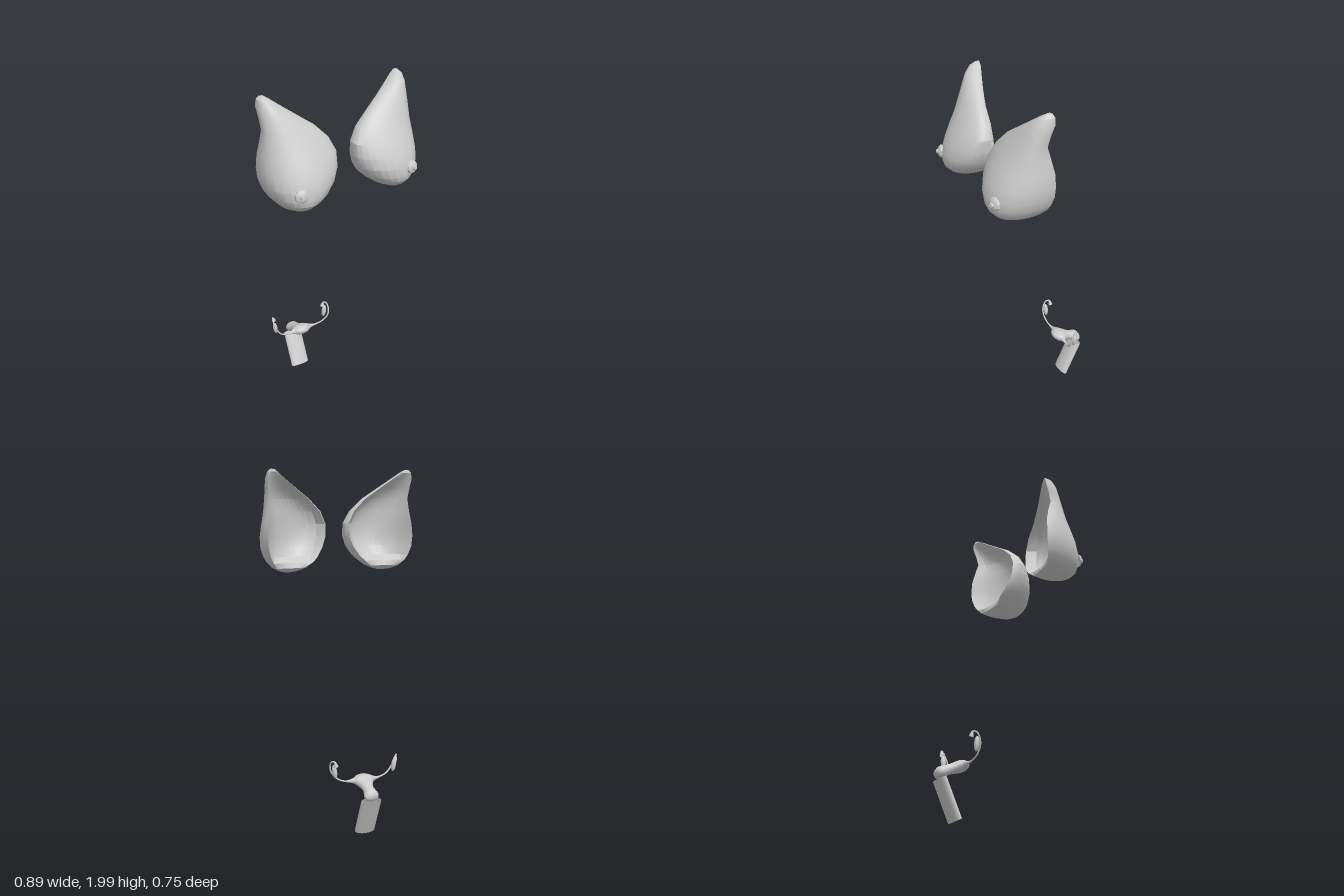
import * as THREE from 'three';
import { toCreasedNormals } from 'three/addons/utils/BufferGeometryUtils.js';

const { lerp } = THREE.MathUtils;
const material = new THREE.MeshStandardMaterial({ color: 0xcccccc, side: THREE.DoubleSide });

function addMesh(parent, name, geometry) {
  const mesh = new THREE.Mesh(geometry, material);
  mesh.name = name;
  parent.add(mesh);
  return mesh;
}

// Skin a list of closed rings (arrays of Vector3, equal length)
function loft(rings) {
  const n = rings[0].length, index = [];
  for (let i = 0; i < rings.length - 1; i++) {
    for (let j = 0; j < n; j++) {
      const k = (j + 1) % n, a = i * n + j, b = i * n + k;
      index.push(a, b, b + n, a, b + n, a + n);
    }
  }
  const g = new THREE.BufferGeometry().setFromPoints(rings.flat());
  g.setIndex(index);
  g.computeVertexNormals();
  return g;
}

// Breast levels from apex to base:
// y, inner x, outer x, front z, inner rim z, outer rim z, hollow depth
const LEVELS = [
  [2.0, 0.385, 0.405, 0.1, 0.075, 0.07, 0],
  [1.985, 0.362, 0.42, 0.13, 0.078, 0.065, 0],
  [1.95, 0.315, 0.428, 0.163, 0.095, 0.066, 0.02],
  [1.9, 0.245, 0.426, 0.193, 0.12, 0.085, 0.05],
  [1.84, 0.16, 0.424, 0.227, 0.145, 0.1, 0.08],
  [1.77, 0.09, 0.43, 0.265, 0.15, 0.08, 0.11],
  [1.7, 0.057, 0.44, 0.305, 0.152, 0.063, 0.125],
  [1.63, 0.058, 0.446, 0.338, 0.145, 0.06, 0.13],
  [1.57, 0.08, 0.44, 0.356, 0.135, 0.063, 0.12],
  [1.52, 0.115, 0.422, 0.356, 0.12, 0.075, 0.09],
  [1.49, 0.148, 0.403, 0.345, 0.11, 0.085, 0.03],
  [1.46, 0.19, 0.375, 0.315, 0.125, 0.11, 0],
  [1.44, 0.235, 0.335, 0.28, 0.155, 0.145, 0],
  [1.43, 0.275, 0.295, 0.225, 0.19, 0.185, 0],
];

function breastRing([y, xIn, xOut, front, rimIn, rimOut, depth]) {
  const centre = (xIn + xOut) / 2, half = (xOut - xIn) / 2, ring = [];
  const rimAt = (v) => lerp(rimIn, rimOut, (v + 1) / 2);
  const widestAt = (v) => lerp(rimAt(v), front, 0.35);
  const add = (v, z) => ring.push(new THREE.Vector3(centre + half * v, y, z));
  // Front bulge, from the outer side to the inner side
  for (let i = 0; i <= 14; i++) {
    const a = (i / 14) * Math.PI, v = Math.cos(a);
    add(v, lerp(widestAt(v), front, Math.sin(a)));
  }
  // Rounded turn to the rim, the hollow behind, and the turn back
  add(-0.98, lerp(widestAt(-1), rimIn, 0.6));
  for (let i = 0; i <= 10; i++) {
    const v = i / 5 - 1;
    add(v * 0.92, rimAt(v) + depth * Math.pow(1 - v * v, 0.7));
  }
  add(0.98, lerp(widestAt(1), rimOut, 0.6));
  return ring;
}

function breastShell(side) {
  const rings = LEVELS.map(breastRing);
  // Close the apex and the base on their middle points
  const closed = (ring) => {
    const middle = ring.reduce((sum, p) => sum.add(p), new THREE.Vector3()).divideScalar(ring.length);
    return ring.map(() => middle.clone());
  };
  rings.unshift(closed(rings[0]));
  rings.push(closed(rings[rings.length - 1]));
  if (side < 0) {
    for (const ring of rings) {
      ring.reverse();
      ring.forEach((p) => { p.x *= -1; });
    }
  }
  return toCreasedNormals(loft(rings), 0.4);
}

function nippleGeometry() {
  const profile = [[0.037, -0.014], [0.034, -0.002], [0.022, 0.006], [0.014, 0.008], [0.011, 0.017], [0, 0.019]];
  const g = new THREE.LatheGeometry(profile.map(([r, y]) => new THREE.Vector2(r, y)), 10);
  g.rotateX(Math.PI / 2);
  return toCreasedNormals(g, 0.4);
}

// Uterus sections from fundus to cervix: z, y, half width, half thickness
const UTERUS = [
  [-0.195, 0.318, 0, 0], [-0.198, 0.317, 0.02, 0.012], [-0.208, 0.315, 0.041, 0.022],
  [-0.224, 0.31, 0.058, 0.03], [-0.24, 0.304, 0.064, 0.032], [-0.256, 0.298, 0.055, 0.031],
  [-0.272, 0.291, 0.043, 0.029], [-0.292, 0.283, 0.034, 0.027], [-0.315, 0.274, 0.031, 0.027],
  [-0.337, 0.264, 0.036, 0.03], [-0.355, 0.254, 0.042, 0.031], [-0.368, 0.244, 0.037, 0.025],
  [-0.373, 0.238, 0.02, 0.013], [-0.373, 0.237, 0, 0],
];

function uterusGeometry() {
  const n = 24;
  return loft(UTERUS.map(([z, y, rx, ry]) => Array.from({ length: n }, (_, i) => {
    const a = (i / n) * Math.PI * 2, s = -Math.sin(a) * ry;
    return new THREE.Vector3(Math.cos(a) * rx, y + s * 0.9, z - s * 0.42);
  })));
}

// Tube whose radius follows a function of its length
function taperedTube(points, radiusAt) {
  const curve = new THREE.CatmullRomCurve3(points.map((p) => new THREE.Vector3(...p)));
  const segments = 48, sides = 10;
  const g = new THREE.TubeGeometry(curve, segments, 1, sides);
  const pos = g.attributes.position, v = new THREE.Vector3();
  for (let i = 0; i < pos.count; i++) {
    const t = Math.floor(i / (sides + 1)) / segments;
    const c = curve.getPointAt(t);
    v.fromBufferAttribute(pos, i).sub(c).multiplyScalar(radiusAt(t)).add(c);
    pos.setXYZ(i, v.x, v.y, v.z);
  }
  g.computeVertexNormals();
  return g;
}

const TUBES = {
  left: {
    path: [[0.035, 0.305, -0.238], [0.1, 0.308, -0.231], [0.14, 0.325, -0.222], [0.17, 0.36, -0.213],
      [0.181, 0.4, -0.221], [0.178, 0.432, -0.242], [0.166, 0.433, -0.256], [0.157, 0.405, -0.258]],
    ovary: [0.163, 0.375, -0.246],
  },
  right: {
    path: [[-0.055, 0.305, -0.238], [-0.11, 0.308, -0.23], [-0.155, 0.325, -0.225], [-0.185, 0.36, -0.222],
      [-0.201, 0.4, -0.231], [-0.202, 0.432, -0.25], [-0.193, 0.436, -0.268], [-0.184, 0.41, -0.273]],
    ovary: [-0.191, 0.375, -0.244],
  },
};

export function createModel() {
  const model = new THREE.Group();
  model.name = 'anatomy';

  // Breasts with nipples
  for (const [label, side] of [['left', 1], ['right', -1]]) {
    const breast = new THREE.Group();
    breast.name = `${label}Breast`;
    addMesh(breast, `${label}BreastShell`, breastShell(side));
    const nipple = addMesh(breast, `${label}Nipple`, nippleGeometry());
    nipple.position.set(side * 0.335, 1.56, 0.353);
    nipple.rotation.set(-0.1, side * 0.25, 0);
    model.add(breast);
  }

  // Uterus, slightly off centre
  addMesh(model, 'uterus', uterusGeometry()).position.x = -0.01;

  // Flattened open canal, leaning backwards towards its top
  const canalGeometry = new THREE.CylinderGeometry(1, 1, 0.226, 32, 1, true);
  canalGeometry.scale(0.059, 1, 0.025);
  const canal = addMesh(model, 'canal', canalGeometry);
  canal.position.set(-0.01, 0.12, -0.307);
  canal.rotation.x = -0.43;

  // Tubes, their flared ends and ovaries
  const flare = (t) => 0.0045 + 0.017 * Math.pow(Math.max(0, 1 - t / 0.25), 2)
    + 0.008 * THREE.MathUtils.smoothstep(t, 0.88, 1);
  for (const [label, { path, ovary }] of Object.entries(TUBES)) {
    addMesh(model, `${label}UterineTube`, taperedTube(path, flare));
    const body = addMesh(model, `${label}Ovary`, new THREE.SphereGeometry(1, 16, 12));
    body.scale.set(0.014, 0.04, 0.014);
    body.position.set(...ovary);
    body.rotation.z = label === 'left' ? -0.15 : 0.15;
  }
  return model;
}
